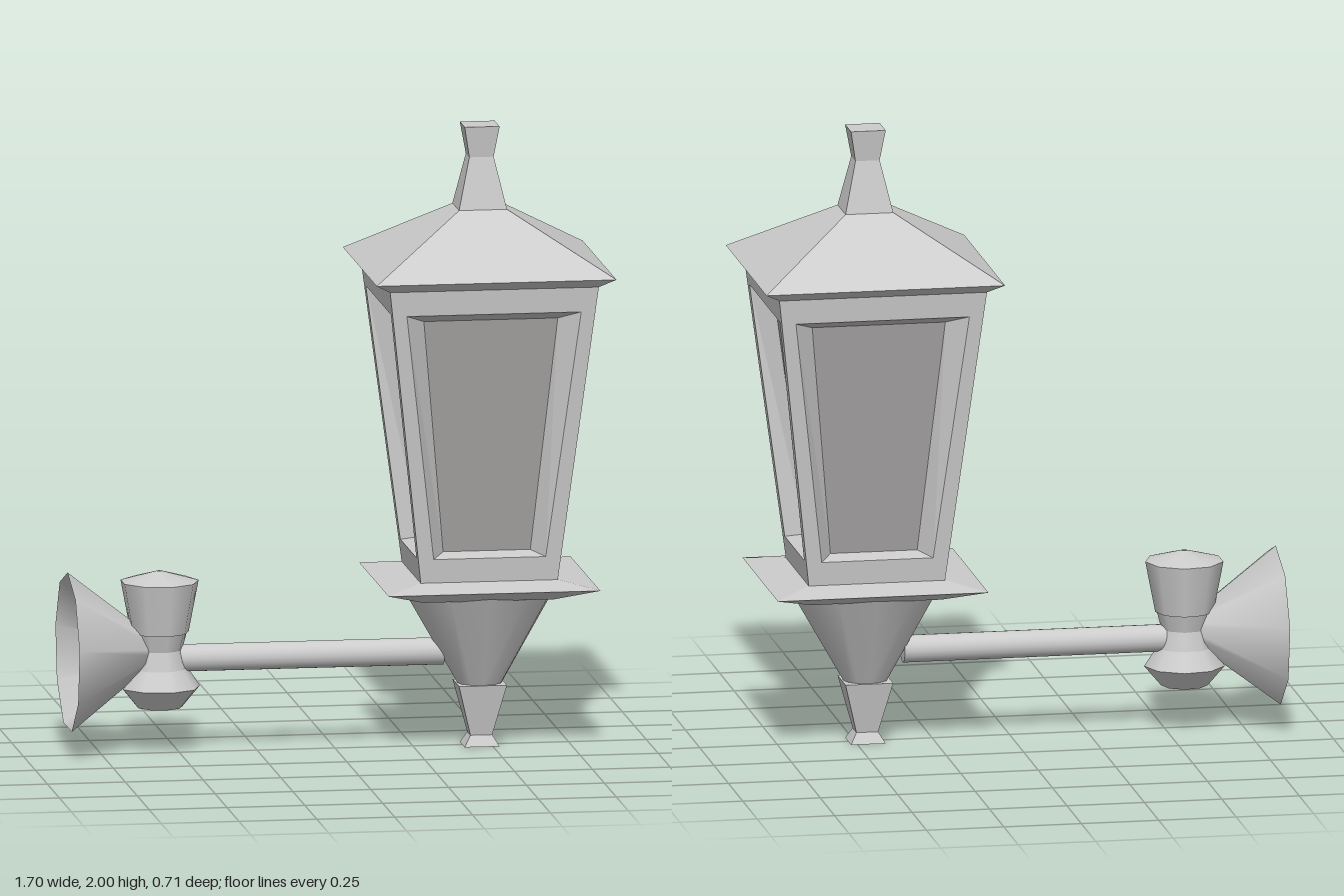
import * as THREE from 'three';

const metal = new THREE.MeshStandardMaterial({ color: 0xcccccc, side: THREE.DoubleSide });
metal.name = 'grey metal';
const glass = new THREE.MeshStandardMaterial({ color: 0xa6a3a3 });
glass.name = 'dim glass';

function add(parent, name, geometry, material = metal) {
  const mesh = new THREE.Mesh(geometry, material);
  mesh.name = name;
  parent.add(mesh);
  return mesh;
}

// Flat-faced skin over a sequence of four-cornered rings
function skin(rings, capStart = false, capEnd = false) {
  const pos = [];
  const quad = (a, b, c, d) => pos.push(...a, ...b, ...c, ...a, ...c, ...d);
  for (let r = 0; r + 1 < rings.length; r++) {
    const a = rings[r], b = rings[r + 1];
    for (let i = 0; i < 4; i++) {
      const j = (i + 1) % 4;
      quad(a[i], a[j], b[j], b[i]);
    }
  }
  if (capStart) quad(...[...rings[0]].reverse());
  if (capEnd) quad(...rings[rings.length - 1]);
  const g = new THREE.BufferGeometry();
  g.setAttribute('position', new THREE.Float32BufferAttribute(pos, 3));
  g.computeVertexNormals();
  return g;
}

// Rectangular stack, levels are [y, half width, half depth] from the bottom up
const stack = (levels) => skin(
  levels.map(([y, w, d]) => [[-w, y, d], [w, y, d], [w, y, -d], [-w, y, -d]]), true, true);

// Round stack of frustums, levels are [y, radius] from the bottom up
function turned(parent, name, levels, sides, openBottom = false) {
  const group = new THREE.Group();
  group.name = name;
  for (let i = 0; i + 1 < levels.length; i++) {
    const [y0, r0] = levels[i], [y1, r1] = levels[i + 1];
    const g = new THREE.CylinderGeometry(r1, r0, y1 - y0, sides, 1, true, Math.PI / 2);
    g.translate(0, (y0 + y1) / 2, 0);
    add(group, name + 'Section', g);
  }
  if (!openBottom) {
    const g = new THREE.CircleGeometry(levels[0][1], sides);
    g.rotateX(Math.PI / 2).translate(0, levels[0][0], 0);
    add(group, name + 'Underside', g);
  }
  parent.add(group);
  return group;
}

export function createModel() {
  const model = new THREE.Group();
  model.name = 'wallLantern';

  const lantern = new THREE.Group();
  lantern.name = 'lantern';
  lantern.position.x = 0.465;
  model.add(lantern);

  // Roof with its finial, and the sloped plate below the body
  add(lantern, 'roof', stack([
    [1.52, 0.335, 0.31], [1.55, 0.385, 0.355], [1.735, 0.077, 0.07],
    [1.9, 0.039, 0.037], [2, 0.056, 0.052]]));
  add(lantern, 'basePlate', stack([
    [0.495, 0.21, 0.19], [0.54, 0.34, 0.31], [0.56, 0.225, 0.205]]));

  // Four tapering walls, each a frame with a bevelled recess and a pane
  const yLow = 0.56, yHigh = 1.52;
  const wide = { low: 0.22, high: 0.335, openLow: 0.18, openHigh: 0.28, paneLow: 0.14, paneHigh: 0.215 };
  const narrow = { low: 0.2, high: 0.31, openLow: 0.168, openHigh: 0.262, paneLow: 0.137, paneHigh: 0.2 };
  for (let k = 0; k < 4; k++) {
    const [face, across] = k % 2 ? [narrow, wide] : [wide, narrow];
    const out = (y) => across.low + (across.high - across.low) * (y - yLow) / (yHigh - yLow);
    const ring = (y0, w0, y1, w1, inset) => [
      [-w0, y0, out(y0) - inset], [w0, y0, out(y0) - inset],
      [w1, y1, out(y1) - inset], [-w1, y1, out(y1) - inset]];
    const pane = ring(0.65, face.paneLow, 1.41, face.paneHigh, 0.065);
    const wall = new THREE.Group();
    wall.name = 'wall';
    wall.rotation.y = k * Math.PI / 2;
    add(wall, 'frame', skin([
      ring(yLow, face.low, yHigh, face.high, 0),
      ring(0.637, face.openLow, 1.44, face.openHigh, 0), pane]));
    add(wall, 'pane', skin([pane], false, true), glass);
    lantern.add(wall);
  }

  // Oval cone and square drop under the plate
  const cone = turned(lantern, 'lowerCone', [[0.19, 0.066], [0.505, 0.245]], 12);
  cone.scale.z = 0.88;
  add(lantern, 'drop', stack([
    [0, 0.056, 0.052], [0.035, 0.035, 0.033], [0.2, 0.077, 0.07]]));

  // Arm from the post to the lantern
  const arm = add(model, 'arm', new THREE.CylinderGeometry(0.044, 0.044, 0.85, 16));
  arm.rotation.z = Math.PI / 2;
  arm.position.set(-0.075, 0.3, -0.024);

  // Waisted post with a flared, shallow-peaked cap
  const post = new THREE.Group();
  post.name = 'post';
  post.position.set(-0.56, 0, -0.024);
  turned(post, 'postBody', [
    [0.145, 0.075], [0.21, 0.13], [0.27, 0.09], [0.33, 0.074], [0.39, 0.09]], 9);
  turned(post, 'postCap', [[0.385, 0.094], [0.55, 0.126], [0.583, 0.008]], 9);
  model.add(post);

  // Hollow nine-sided wall cup
  const cup = add(model, 'wallCup',
    new THREE.CylinderGeometry(0.257, 0.03, 0.29, 9, 1, true, Math.PI / 2));
  cup.rotation.z = Math.PI / 2;
  cup.position.set(-0.71, 0.328, -0.024);

  return model;
}
